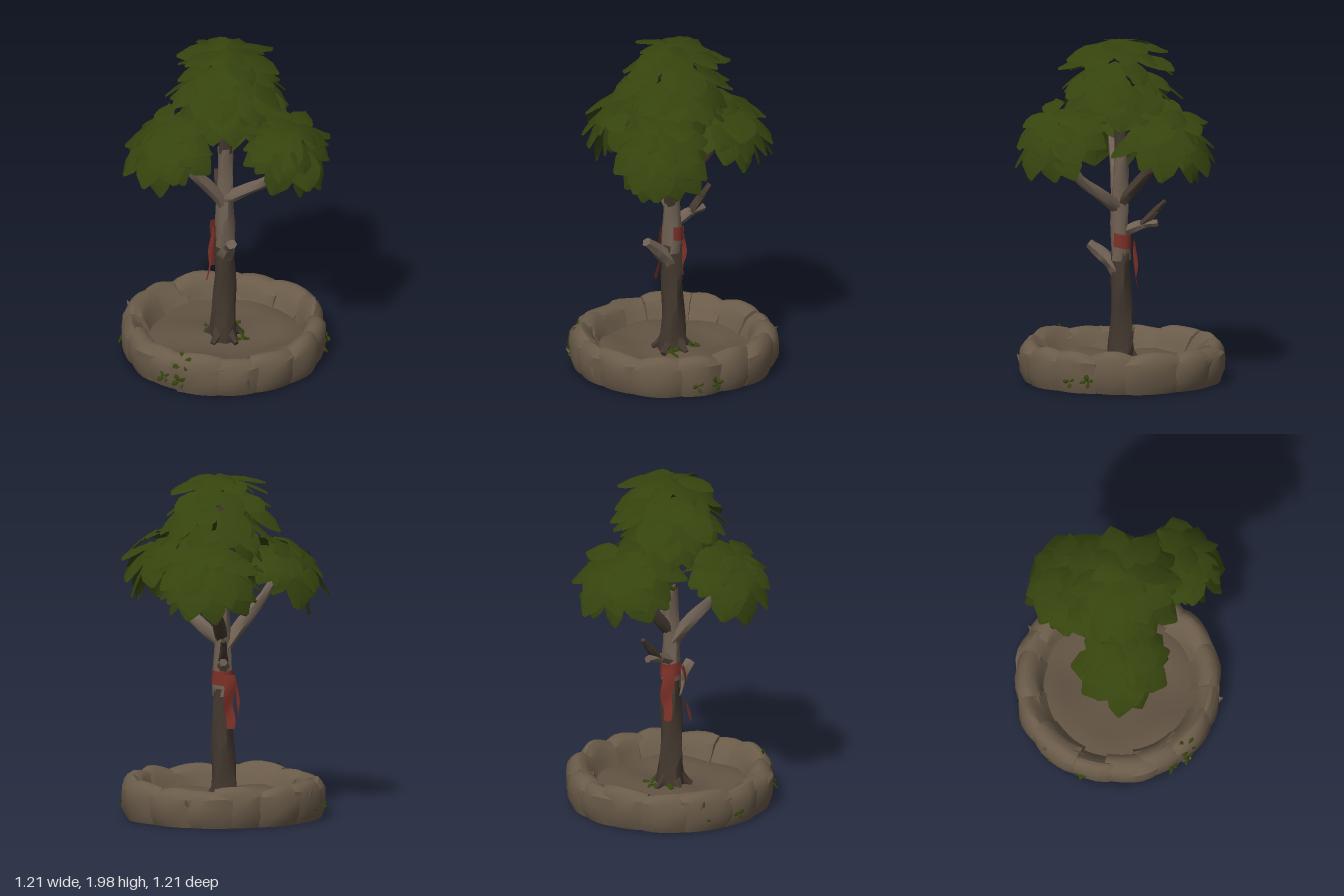
import * as THREE from 'three';
import { mergeGeometries, toCreasedNormals } from 'three/addons/utils/BufferGeometryUtils.js';

const mat = (name, color, side = THREE.FrontSide) => {
  const m = new THREE.MeshStandardMaterial({ color, side });
  m.name = name;
  return m;
};

export function createModel() {
  const model = new THREE.Group();
  const stone = mat('stone', 0x6a5b49);
  const soil = mat('soil', 0x615343);
  const bark = mat('bark', 0x6f6053);
  const darkBark = mat('dark bark', 0x43382f);
  const leafGreen = mat('leaf green', 0x35430e, THREE.DoubleSide);
  const cloth = mat('red cloth', 0x7a3027, THREE.DoubleSide);

  let seed = 11;
  const rand = (a = -1, b = 1) => {
    seed = (seed * 16807) % 2147483647;
    return a + (b - a) * (seed / 2147483647);
  };
  const add = (name, geometry, material) => {
    const mesh = new THREE.Mesh(geometry, material);
    mesh.name = name;
    model.add(mesh);
    return mesh;
  };
  // Moves every vertex by a rule
  const warp = (geometry, rule) => {
    const p = geometry.attributes.position, v = new THREE.Vector3();
    for (let i = 0; i < p.count; i++) {
      v.fromBufferAttribute(p, i);
      rule(v, i);
      p.setXYZ(i, v.x, v.y, v.z);
    }
    geometry.computeVertexNormals();
    return geometry;
  };
  const wave = (v, f, s) => Math.sin(v.x * f + s) * Math.sin(v.y * f * 1.7 + s * 2) * 0.5
    + Math.sin(v.z * f * 1.2 + s * 3) * 0.5;

  // Tapered limb through [x, y, z, radius] points, with a flat far end
  const limb = (name, pts, material, sides = 9, segs = 10) => {
    const curve = new THREE.CatmullRomCurve3(pts.map((p) => new THREE.Vector3(p[0], p[1], p[2])));
    const g = new THREE.TubeGeometry(curve, segs, 1, sides);
    const c = new THREE.Vector3();
    warp(g, (v, i) => {
      const ring = Math.floor(i / (sides + 1));
      const t = ring / segs;
      curve.getPointAt(t, c);
      const k = Math.min(t * (pts.length - 1), pts.length - 1.001), j = Math.floor(k);
      const r = THREE.MathUtils.lerp(pts[j][3], pts[j + 1][3], k - j);
      const knot = 1 + 0.1 * Math.sin((i % (sides + 1)) % sides * 2.3 + ring * 0.9);
      v.sub(c).multiplyScalar(ring === segs ? 0 : r * knot);
      v.add(ring === segs ? curve.getPointAt(1 - 1 / segs) : c);
    });
    return add(name, toCreasedNormals(g, 0.9), material);
  };

  // Ring of rough stones bent from boxes, their inner faces sloping down to the soil
  const stones = [], count = 15;
  for (let i = 0; i < count; i++) {
    const mid = (i / count) * Math.PI * 2 + rand(-0.05, 0.05);
    const span = (Math.PI * 2 / count) * rand(1.25, 1.45);
    const top = rand(0.212, 0.254), outer = rand(0.588, 0.61);
    const innerTop = rand(0.47, 0.51), innerBase = rand(0.38, 0.43);
    const skew = rand(-0.02, 0.02), tip = rand(-0.015, 0.015), s = rand(0, 6);
    const g = new THREE.BoxGeometry(1, 1, 1, 6, 4, 3);
    warp(g, (v) => {
      const u = v.x * 2, h = v.y + 0.5, d = v.z + 0.5;
      const inner = THREE.MathUtils.lerp(innerBase, innerTop, h);
      const bulge = d * (0.022 * u * u + 0.024 * (2 * h - 1) ** 4);
      const a = mid + v.x * span;
      const r = THREE.MathUtils.lerp(inner, outer, d) - bulge + skew * u * 0.5;
      const y = 0.01 + 0.05 * (1 - d) * (1 - h) + (top - 0.01) * h
        - (h > 0.9 ? 0.022 * u * u + 0.02 * (2 * d - 1) ** 2 - tip * u : 0);
      v.set(Math.sin(a) * r, y, Math.cos(a) * r);
      const n = wave(v, 19, s) * 0.014;
      v.x *= 1 + n;
      v.z *= 1 + n;
      if (h > 0.3) v.y += n;
    });
    stones.push(toCreasedNormals(g, 0.7));
  }
  add('stoneRing', mergeGeometries(stones), stone);
  // Sharp chips standing out of the ring
  for (const [x, y, z] of [[0.21, 0.15, -0.55], [-0.49, 0.17, -0.32], [0.04, 0.1, 0.58], [-0.33, 0.06, 0.48]]) {
    const chip = add('stoneChip', new THREE.ConeGeometry(0.04, 0.09, 4), stone);
    chip.position.set(x, y, z);
    chip.rotation.set(z * 1.2, 0.4, -x * 1.2);
  }

  // Lumpy soil and the hollow underside of the bed
  const sheet = (name, profile, material, lump) => add(name, toCreasedNormals(
    warp(new THREE.LatheGeometry(profile.map((p) => new THREE.Vector2(...p)), 30), (v) => {
      v.y += wave(v, 13, 1) * lump * Math.min(1, (0.6 - Math.hypot(v.x, v.z)) * 5);
    }), 0.7), material);
  sheet('soil', [[0.47, 0.1], [0.4, 0.12], [0.32, 0.11], [0.24, 0.095], [0.14, 0.1], [0.03, 0.12]], soil, 0.024);
  sheet('underside', [[0.03, 0.085], [0.15, 0.072], [0.3, 0.052], [0.45, 0.03], [0.58, 0.01]], stone, 0.012);

  // Trunk in three stretches, then roots
  limb('lowerTrunk', [[0, 0.07, 0, 0.085], [0, 0.3, 0, 0.066], [0.005, 0.52, 0.005, 0.06], [0.005, 0.82, 0.005, 0.053]], darkBark);
  limb('middleTrunk', [[0.005, 0.7, 0.005, 0.058], [0.005, 0.95, 0.01, 0.05], [0.008, 1.15, 0.005, 0.046], [0.008, 1.4, 0, 0.04]], bark);
  limb('upperTrunk', [[0.008, 1.3, 0.002, 0.041], [0.008, 1.55, 0, 0.037], [0, 1.9, 0, 0.025]], darkBark);
  for (let i = 0; i < 5; i++) {
    const a = i * 1.257 + 0.5, x = Math.sin(a), z = Math.cos(a);
    limb('root', [[x * 0.03, 0.2, z * 0.03, 0.03], [x * 0.08, 0.125, z * 0.08, 0.026],
      [x * 0.14, 0.085, z * 0.14, 0.012]], darkBark, 6, 6);
  }

  // Branches to the side clusters
  limb('rightBranch', [[0, 0.97, 0.01, 0.04], [-0.11, 1.12, 0.05, 0.036], [-0.24, 1.28, 0.1, 0.027], [-0.36, 1.5, 0.14, 0.018]], bark, 7);
  limb('leftBranch', [[0, 1, 0.01, 0.04], [0.11, 1.09, 0.09, 0.034], [0.24, 1.21, 0.2, 0.027], [0.34, 1.52, 0.31, 0.018]], bark, 7);
  limb('backBranch', [[0.01, 1.04, 0, 0.038], [0.03, 1.15, -0.1, 0.033], [0.06, 1.3, -0.23, 0.025], [0.11, 1.48, -0.34, 0.018]], darkBark, 7);
  // Broken stubs
  limb('frontStub', [[0.005, 0.64, 0.02, 0.05], [0.012, 0.73, 0.11, 0.038], [0.015, 0.81, 0.21, 0.028]], bark, 6);
  limb('backStub', [[0, 0.87, -0.02, 0.035], [0, 0.91, -0.12, 0.028], [0, 0.925, -0.235, 0.02]], bark, 6);
  limb('backStubFork', [[0, 0.91, -0.12, 0.026], [0, 0.97, -0.18, 0.023], [0, 1.07, -0.27, 0.012]], darkBark, 6);

  // Cloth tied round the back of the trunk, with two hanging tails
  const band = add('clothBand', warp(new THREE.CylinderGeometry(0.06, 0.064, 0.08, 12, 2, true, 1.1, 3.8), (v) => {
    v.y += v.z * 0.2;
  }), cloth);
  band.position.set(0.005, 0.82, 0.005);
  // Drift carries the lower end away from the trunk
  const tail = (name, x, z, length, width, turn, drift) => {
    const g = warp(new THREE.PlaneGeometry(width, length, 2, 8), (v) => {
      const t = 0.5 - v.y / length;
      v.x = v.x * (1 - 0.4 * t * t) + Math.sin(t * 9) * 0.008;
      v.z = Math.sin(t * 7 + v.x * 40) * 0.008 + drift * t;
    });
    const m = add(name, g, cloth);
    m.position.set(x, 0.83 - length / 2, z);
    m.rotation.y = turn;
  };
  tail('wideTail', -0.03, -0.066, 0.31, 0.075, -2.75, 0.02);
  tail('narrowTail', -0.062, 0.025, 0.33, 0.032, -1.2, 0.045);

  // One broad leaf along +x, folded and drooping
  const halfWidths = [0.35, 0.8, 1, 0.8, 0.12];
  const leaf = (length, width) => warp(new THREE.PlaneGeometry(1, 1, 4, 2).rotateX(-Math.PI / 2), (v) => {
    const t = v.x + 0.5, side = v.z * 2;
    v.set(t * length, -0.18 * length * t * t - Math.abs(side) * 0.012,
      side * halfWidths[Math.round(t * 4)] * width / 2);
  });
  const UP = new THREE.Vector3(0, 1, 0);
  // Tiers are [radius, drop, leaves, pitch, length]
  const cluster = (name, apex, tilt, tiers, size = 1) => {
    const aim = new THREE.Quaternion().setFromUnitVectors(UP, new THREE.Vector3(...tilt).normalize());
    const parts = [];
    tiers.forEach(([r, drop, n, pitch, len], k) => {
      for (let i = 0; i < n; i++) {
        const l = len * size * rand(0.86, 1.12);
        const g = leaf(l, l * rand(0.64, 0.82));
        g.rotateX(rand(-0.3, 0.3)).rotateZ(-pitch + rand(-0.18, 0.18));
        g.translate(r * size, -drop * size + rand(-0.018, 0.018), 0);
        g.rotateY(((i + k * 0.5) / n) * Math.PI * 2 + rand(-0.15, 0.15));
        parts.push(g.applyQuaternion(aim).translate(...apex));
      }
    });
    add(name, mergeGeometries(parts), leafGreen);
  };
  const sideTiers = [[0, -0.02, 6, 0, 0.19], [0.05, 0.02, 8, 0.25, 0.23], [0.09, 0.05, 10, 0.5, 0.23], [0.1, 0.1, 9, 0.8, 0.23]];
  cluster('rightFoliage', [-0.39, 1.56, 0.13], [-0.4, 0.9, 0.12], sideTiers, 1.02);
  cluster('leftFoliage', [0.37, 1.59, 0.335], [0.3, 0.9, 0.28], sideTiers, 1.05);
  cluster('backFoliage', [0.1, 1.57, -0.35], [0.08, 0.9, -0.36], sideTiers, 1.14);
  cluster('crown', [0.02, 1.99, 0.01], [0, 1, 0], [
    [0, 0, 6, 0.1, 0.2], [0.06, 0.03, 8, 0.18, 0.24], [0.1, 0.1, 10, 0.25, 0.24],
    [0.14, 0.17, 12, 0.38, 0.25], [0.15, 0.24, 11, 0.52, 0.25], [0.12, 0.3, 10, 0.68, 0.25],
  ]);

  // Little sprouts on the ring and around the roots: [x, y, z, size]
  const sprouts = [[-0.32, 0.215, 0.475, 0.06], [-0.34, 0.09, 0.485, 0.04], [-0.42, 0.09, 0.415, 0.035],
    [0.59, 0.09, 0.08, 0.04], [0.56, 0.08, 0.19, 0.035], [-0.58, 0.09, -0.1, 0.035], [-0.5, 0.1, -0.3, 0.035],
    [0.1, 0.12, 0.06, 0.045], [-0.08, 0.12, -0.08, 0.045], [0.07, 0.12, -0.1, 0.045],
    [0.03, 0.065, 0.03, 0.06], [-0.04, 0.065, 0, 0.06], [0.02, 0.065, -0.04, 0.06]];
  for (const [x, y, z, size] of sprouts) {
    cluster('sprout', [x, y, z], [x, 0.3, z], [[0, 0, 4, -0.4, size]]);
  }
  return model;
}
